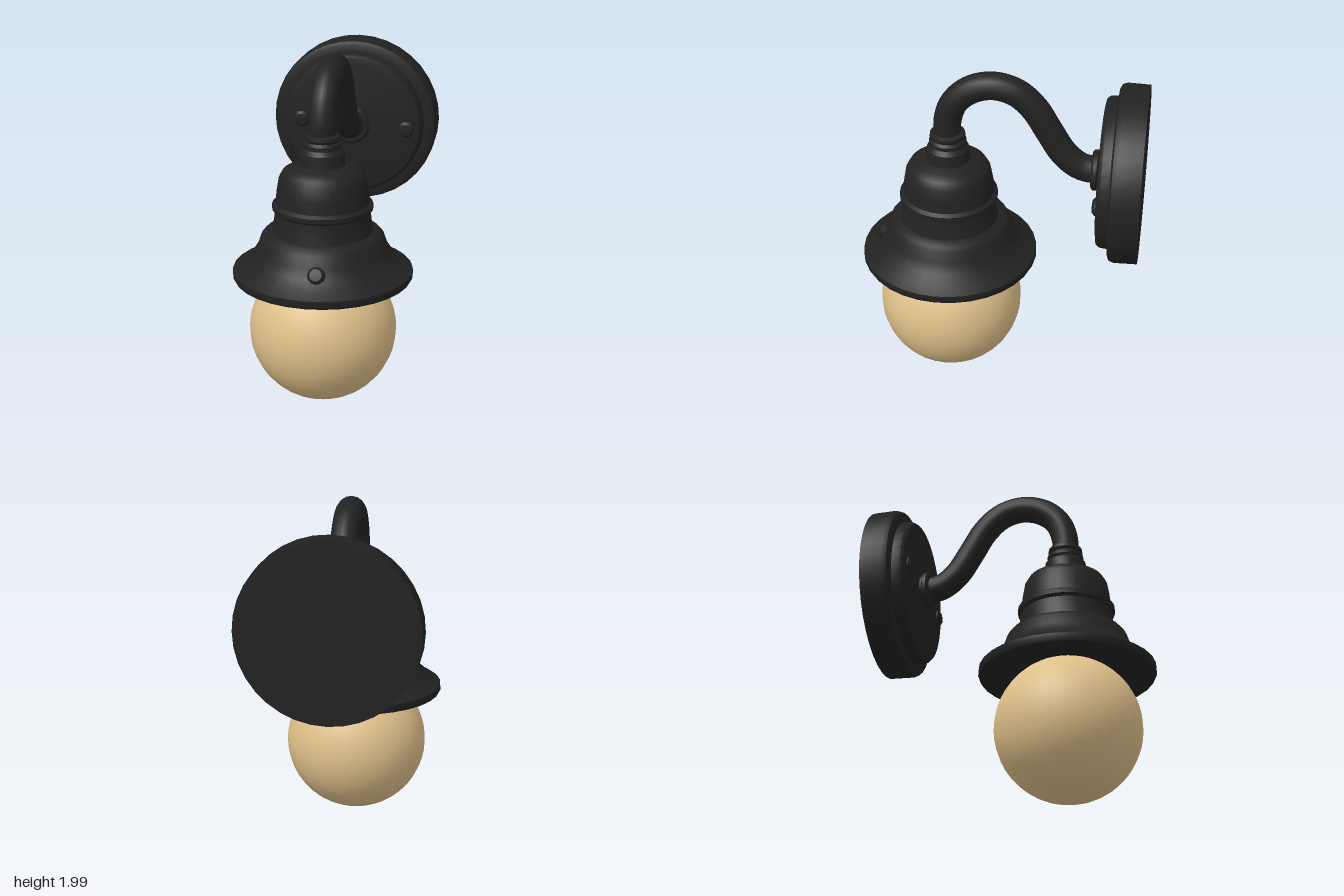
import * as THREE from 'three';
import { toCreasedNormals } from 'three/addons/utils/BufferGeometryUtils.js';

const LAMP_Z = 0.31; // vertical axis of the shade and globe
const PLATE_Y = 1.41; // height of the wall plate centre

export function createModel() {
  const group = new THREE.Group();
  const blackMetal = new THREE.MeshStandardMaterial({ color: 0x222222 });
  blackMetal.name = 'blackMetal';
  const warmGlass = new THREE.MeshStandardMaterial({ color: 0xdfc08a });
  warmGlass.name = 'warmGlass';

  const add = (name, geometry, material, x, y, z) => {
    const mesh = new THREE.Mesh(geometry, material);
    mesh.name = name;
    mesh.position.set(x, y, z);
    group.add(mesh);
    return mesh;
  };
  // Turned part from [radius, height] pairs, listed counter-clockwise
  const turned = (profile, segments = 32) => toCreasedNormals(
    new THREE.LatheGeometry(profile.map(([r, h]) => new THREE.Vector2(r, h)), segments), 0.6);

  // Glass globe
  add('globe', new THREE.SphereGeometry(0.428, 32, 24), warmGlass, 0, 0.432, LAMP_Z);

  // Bell shade: recessed underside, flared rim, stepped dome
  add('shade', turned([
    [0, 0.82], [0.3, 0.81], [0.42, 0.785], [0.49, 0.757], [0.512, 0.757], [0.52, 0.772],
    [0.518, 0.805], [0.46, 0.84], [0.41, 0.885], [0.375, 0.94], [0.355, 1.0], [0.335, 1.025],
    [0.29, 1.04], [0.278, 1.1], [0.272, 1.155], [0.288, 1.17], [0.288, 1.195], [0.268, 1.21],
    [0.26, 1.28], [0.248, 1.35], [0.225, 1.39], [0.18, 1.415], [0.13, 1.43],
    [0.122, 1.5], [0.1, 1.525], [0, 1.525],
  ]), blackMetal, 0, 0, LAMP_Z);

  // Stacked rings where the arm enters the shade
  add('neckCollar', turned([
    [0, 1.515], [0.09, 1.515], [0.108, 1.53], [0.108, 1.55], [0.094, 1.565],
    [0.103, 1.58], [0.1, 1.598], [0.08, 1.607], [0, 1.607],
  ], 24), blackMetal, 0, 0, LAMP_Z);

  // Gooseneck arm
  const armPath = new THREE.CatmullRomCurve3([
    [1.55, 0.31], [1.68, 0.308], [1.8, 0.265], [1.885, 0.17], [1.918, 0.045], [1.885, -0.085],
    [1.79, -0.19], [1.65, -0.275], [1.51, -0.365], [1.435, -0.46], [1.415, -0.58],
  ].map(([y, z]) => new THREE.Vector3(0, y, z)));
  add('arm', new THREE.TubeGeometry(armPath, 48, 0.08, 16), blackMetal, 0, 0, 0);

  // Round wall plate with a raised front step
  add('wallPlate', turned([
    [0, -0.822], [0.512, -0.822], [0.515, -0.69], [0.505, -0.662], [0.485, -0.652],
    [0.44, -0.65], [0.435, -0.6], [0.42, -0.582], [0.39, -0.577], [0, -0.577],
  ], 36), blackMetal, 0, PLATE_Y, 0).rotation.x = Math.PI / 2;

  // Collar where the arm meets the plate
  add('plateCollar', turned([
    [0, -0.59], [0.1, -0.59], [0.1, -0.565], [0.118, -0.555], [0.118, -0.535],
    [0.105, -0.524], [0, -0.524],
  ], 20), blackMetal, 0, 1.417, 0).rotation.x = Math.PI / 2;

  // Domed screws: two on the plate, one on the shade
  const screw = turned([[0, -0.03], [0.05, -0.03], [0.05, 0.012], [0.035, 0.025], [0, 0.028]], 12);
  for (const [x, y] of [[-0.32, 1.43], [0.34, 1.395]]) {
    add('plateScrew', screw, blackMetal, x, y, -0.582).rotation.x = Math.PI / 2;
  }
  add('shadeScrew', screw, blackMetal, 0.045, 0.908, 0.703).rotation.x = 1.05;

  return group;
}
